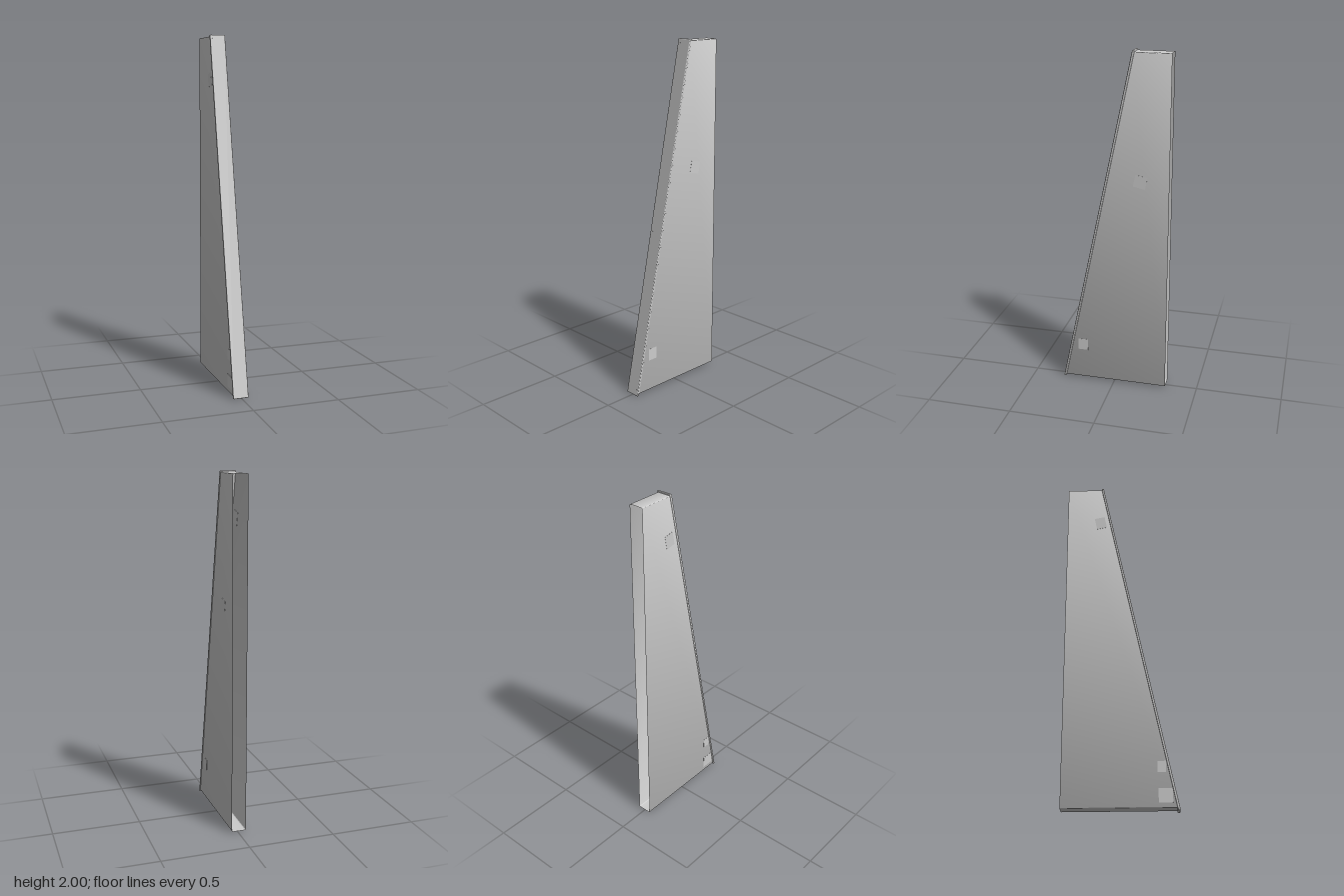
import * as THREE from 'three';
import { toCreasedNormals } from 'three/addons/utils/BufferGeometryUtils.js';
import { RoundedBoxGeometry } from 'three/addons/geometries/RoundedBoxGeometry.js';

const SLOPE = 0.207;                            // z lost per unit of height
const CX = -0.0035;                             // middle of the housing in x
const BACK = -0.314;
const frontZ = (y) => 0.315 - SLOPE * y;        // outer face of the sloping cover

const grey = new THREE.MeshStandardMaterial({ color: 0xcccccc });
const thin = new THREE.MeshStandardMaterial({ color: 0xcccccc, side: THREE.DoubleSide });

function add(parent, name, geometry, material = grey) {
  const mesh = new THREE.Mesh(geometry, material);
  mesh.name = name;
  parent.add(mesh);
  return mesh;
}

// Open-backed skin: a rounded rectangle swept from the sloping front to the flat back
function housingGeometry() {
  const w = 0.0415, y0 = 0.01, y1 = 1.992, r = 0.006;
  const corners = [[w - r, y1 - r], [r - w, y1 - r], [r - w, y0 + r], [w - r, y0 + r]];
  const ring = [];
  corners.forEach(([x, y], c) => {
    for (let i = 0; i <= 4; i++) {
      const a = (c + i / 4) * Math.PI / 2;
      ring.push([CX + x + r * Math.cos(a), y + r * Math.sin(a)]);
    }
  });
  const pos = [], index = [], n = ring.length;
  ring.forEach(([x, y]) => pos.push(x, y, BACK, x, y, frontZ(y) - 0.008));
  for (let i = 0; i < n; i++) {
    const a = 2 * i, b = 2 * ((i + 1) % n);
    index.push(a, b, b + 1, a, b + 1, a + 1);
  }
  const g = new THREE.BufferGeometry();
  g.setAttribute('position', new THREE.Float32BufferAttribute(pos, 3));
  g.setIndex(index);
  return toCreasedNormals(g, 0.6);
}

export function createModel() {
  const model = new THREE.Group();
  model.name = 'taperedHousing';

  add(model, 'housingShell', housingGeometry(), thin);

  // Front cover: a rounded slab sheared to follow the slope
  const cover = new RoundedBoxGeometry(0.09, 2, 0.014, 3, 0.005);
  cover.translate(CX, 1, -0.007);
  cover.applyMatrix4(new THREE.Matrix4().set(
    1, 0, 0, 0,
    0, 1, 0, 0,
    0, -SLOPE, 1, 0.315,
    0, 0, 0, 1));
  add(model, 'frontCover', cover);

  // Pairs of flush screws in the cover
  for (const y of [0.04, 0.944, 1.98]) {
    for (const side of [-1, 1]) {
      const screw = add(model, 'coverScrew', new THREE.CylinderGeometry(0.005, 0.005, 0.004, 16));
      screw.position.set(CX + side * 0.028, y, frontZ(y) - 0.0015);
      screw.rotation.x = Math.PI / 2 - Math.atan(SLOPE);
    }
  }

  // Thin access plates on the side walls: side, y, z, height, depth, tilt
  const tilt = Math.atan(SLOPE);
  const plates = [
    [-1, 0.075, 0.24, 0.075, 0.075, 0],
    [-1, 0.23, 0.222, 0.06, 0.045, 0],
    [-1, 1.75, -0.115, 0.075, 0.06, -tilt],
    [1, 1.28, -0.15, 0.07, 0.07, -tilt],
    [1, 0.23, 0.19, 0.07, 0.06, 0],
  ];
  for (const [side, y, z, h, d, turn] of plates) {
    const plate = add(model, 'accessPlate', new THREE.BoxGeometry(0.002, h, d));
    plate.position.set(CX + side * 0.0412, y, z);
    plate.rotation.x = turn;
  }
  return model;
}
